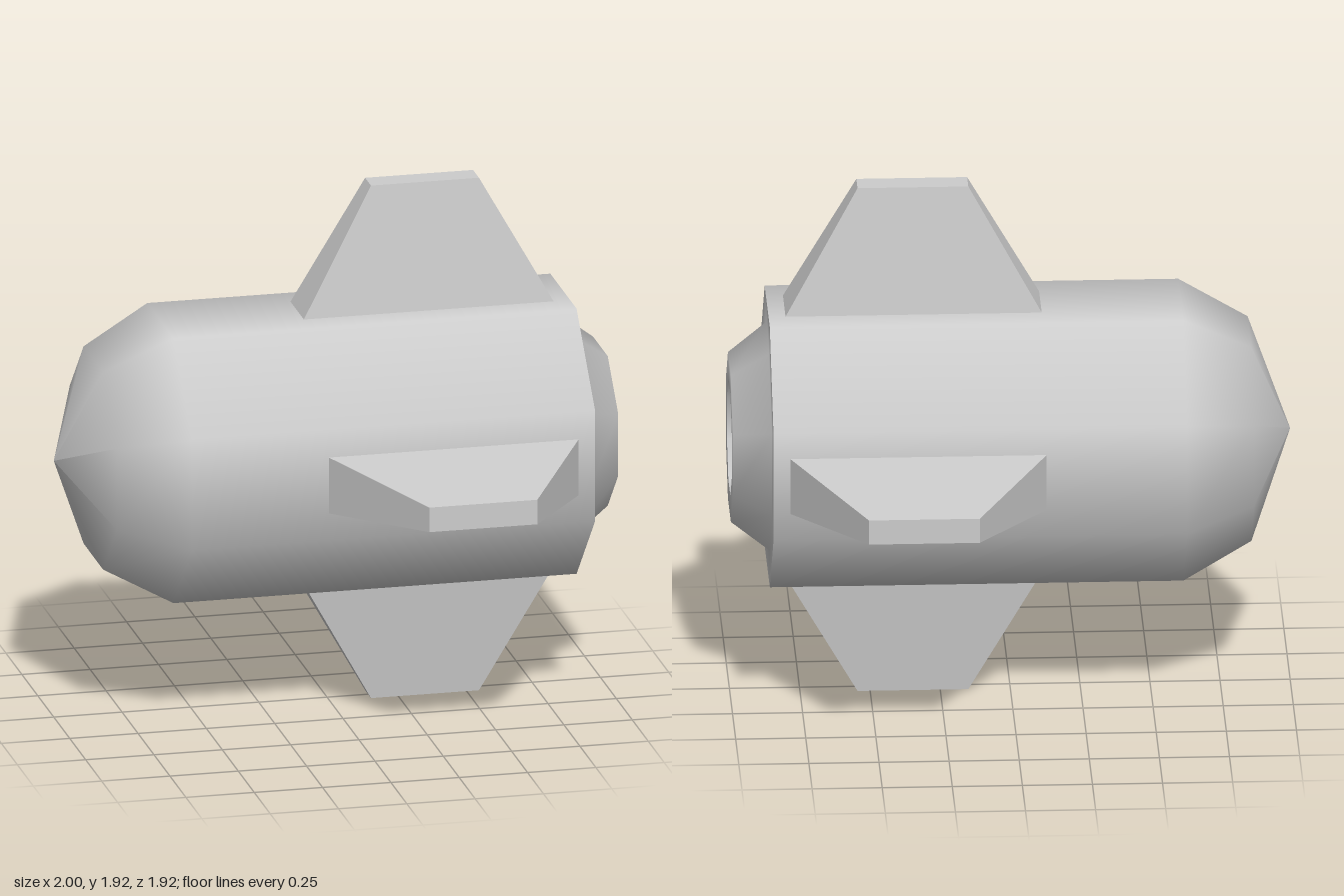
import * as THREE from 'three';

const SIDES = 8;
const AXIS_HEIGHT = 0.965;
const BODY_RADIUS = 0.497; // measured to the flats of the octagon

// Octagonal shell around the x axis from [x, distance to the flats] pairs
function shell(name, profile, material) {
  const toCorner = 1 / Math.cos(Math.PI / SIDES);
  const points = profile.map(([x, r]) => new THREE.Vector2(r * toCorner, x));
  const geometry = new THREE.LatheGeometry(points, SIDES, Math.PI / SIDES);
  geometry.rotateZ(-Math.PI / 2);
  const mesh = new THREE.Mesh(geometry, material);
  mesh.name = name;
  return mesh;
}

// Fin pointing up, tapering in length and thickness
function finGeometry() {
  const geometry = new THREE.BoxGeometry(1, 1, 1);
  const p = geometry.attributes.position;
  for (let i = 0; i < p.count; i++) {
    const tip = p.getY(i) > 0;
    const rear = p.getX(i) > 0;
    const x = tip ? (rear ? 0.545 : 0.15) : (rear ? 0.81 : -0.115);
    const z = Math.sign(p.getZ(i)) * (tip ? 0.046 : 0.106);
    p.setXYZ(i, x, tip ? 0.961 : BODY_RADIUS - 0.01, z);
  }
  geometry.computeVertexNormals();
  return geometry;
}

export function createModel() {
  const model = new THREE.Group();
  model.name = 'finnedRocket';
  const grey = new THREE.MeshStandardMaterial({ color: 0xcccccc });
  grey.name = 'grey';

  // Pointed nose and straight hull
  model.add(shell('hull', [[-1, 0], [-0.855, 0.37], [-0.61, BODY_RADIUS], [0.865, BODY_RADIUS]], grey));

  // Stepped tail ring
  model.add(shell('tail', [[0.865, BODY_RADIUS], [0.865, 0.375], [1, 0.28], [1, 0.195]], grey));

  // Exhaust bore narrowing to a flat floor
  model.add(shell('exhaustBore', [[1, 0.195], [0.65, 0.1]], grey));
  model.add(shell('exhaustFloor', [[0.65, 0.1], [0.65, 0]], grey));

  // Four fins around the hull
  const geometry = finGeometry();
  ['topFin', 'frontFin', 'bottomFin', 'backFin'].forEach((name, i) => {
    const fin = new THREE.Mesh(geometry, grey);
    fin.name = name;
    fin.rotation.x = (i * Math.PI) / 2;
    model.add(fin);
  });

  model.children.forEach((part) => { part.position.y = AXIS_HEIGHT; });
  return model;
}
